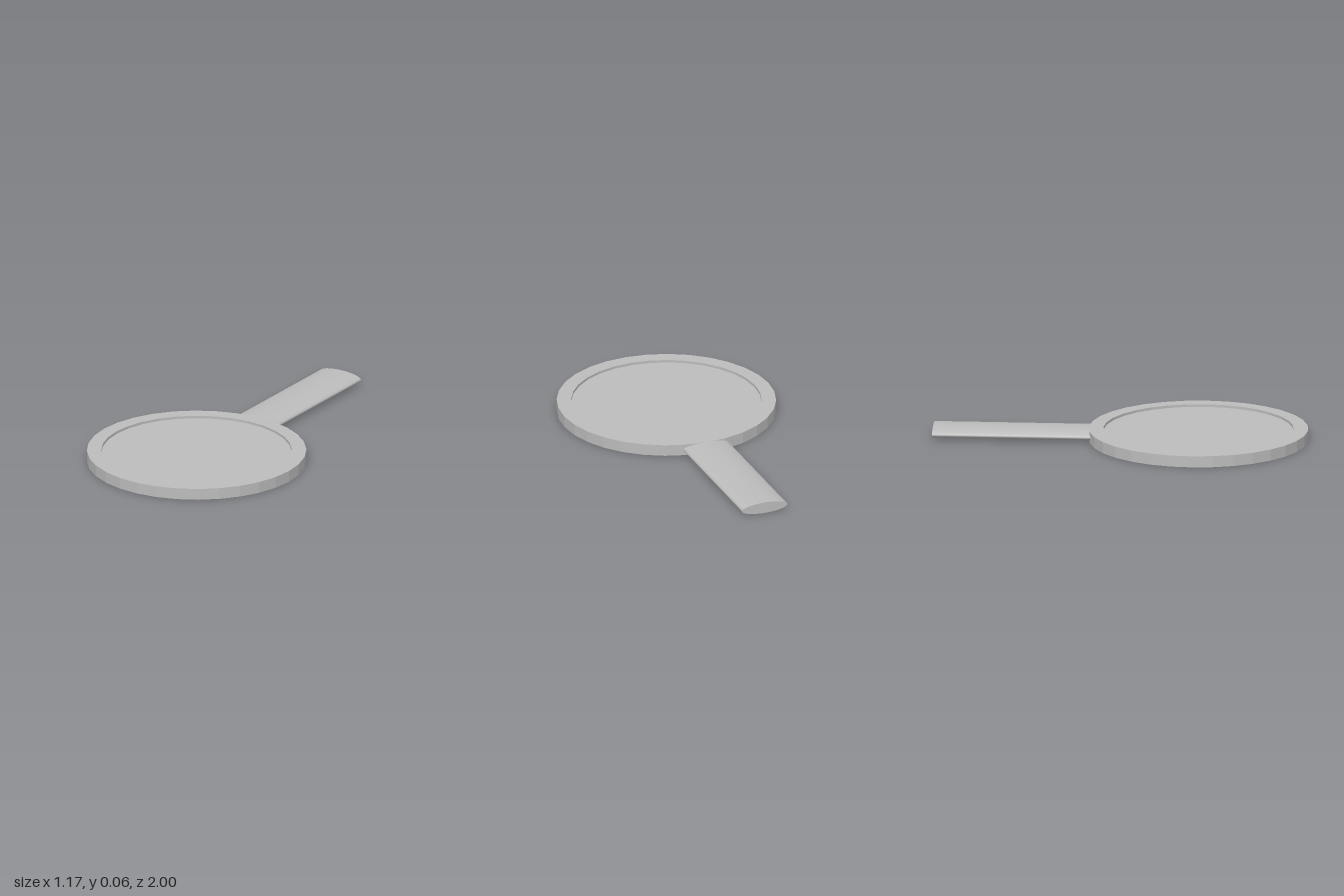
import * as THREE from 'three';

const HEIGHT = 0.061;   // overall thickness
const OUTER = 0.585;    // rim outer radius
const INNER = 0.507;    // rim inner radius
const CENTER_Z = 1 - OUTER;
const SIDES = 32;

// Give every face its own normal for a faceted look
function facet(geometry) {
  const flat = geometry.toNonIndexed();
  flat.computeVertexNormals();
  return flat;
}

export function createModel() {
  const model = new THREE.Group();
  model.name = 'handMirror';
  const grey = new THREE.MeshStandardMaterial({ color: 0xbcbcbc });
  grey.name = 'plain grey';

  function addPart(name, geometry, y, z) {
    const mesh = new THREE.Mesh(geometry, grey);
    mesh.name = name;
    mesh.position.set(0, y, z);
    model.add(mesh);
    return mesh;
  }

  // Rectangular-section ring around the plate
  const profile = [
    [INNER, 0], [OUTER, 0], [OUTER, HEIGHT], [INNER, HEIGHT], [INNER, 0],
  ].map(([r, y]) => new THREE.Vector2(r, y));
  addPart('rim', facet(new THREE.LatheGeometry(profile, SIDES)), 0, CENTER_Z);

  // Plate sunk below the rim on top, barely sunk underneath
  const bottom = 0.003, top = 0.047;
  addPart('mirrorPlate',
    facet(new THREE.CylinderGeometry(INNER, INNER, top - bottom, SIDES)),
    (top + bottom) / 2, CENTER_Z);

  // Flattened round handle, its inner end buried in the rim
  const back = -1, front = -0.12;
  const handle = new THREE.CylinderGeometry(1, 1, front - back, SIDES);
  handle.rotateX(Math.PI / 2);
  handle.scale(0.13, HEIGHT / 2, 1);
  addPart('handle', handle, HEIGHT / 2, (back + front) / 2);

  return model;
}
